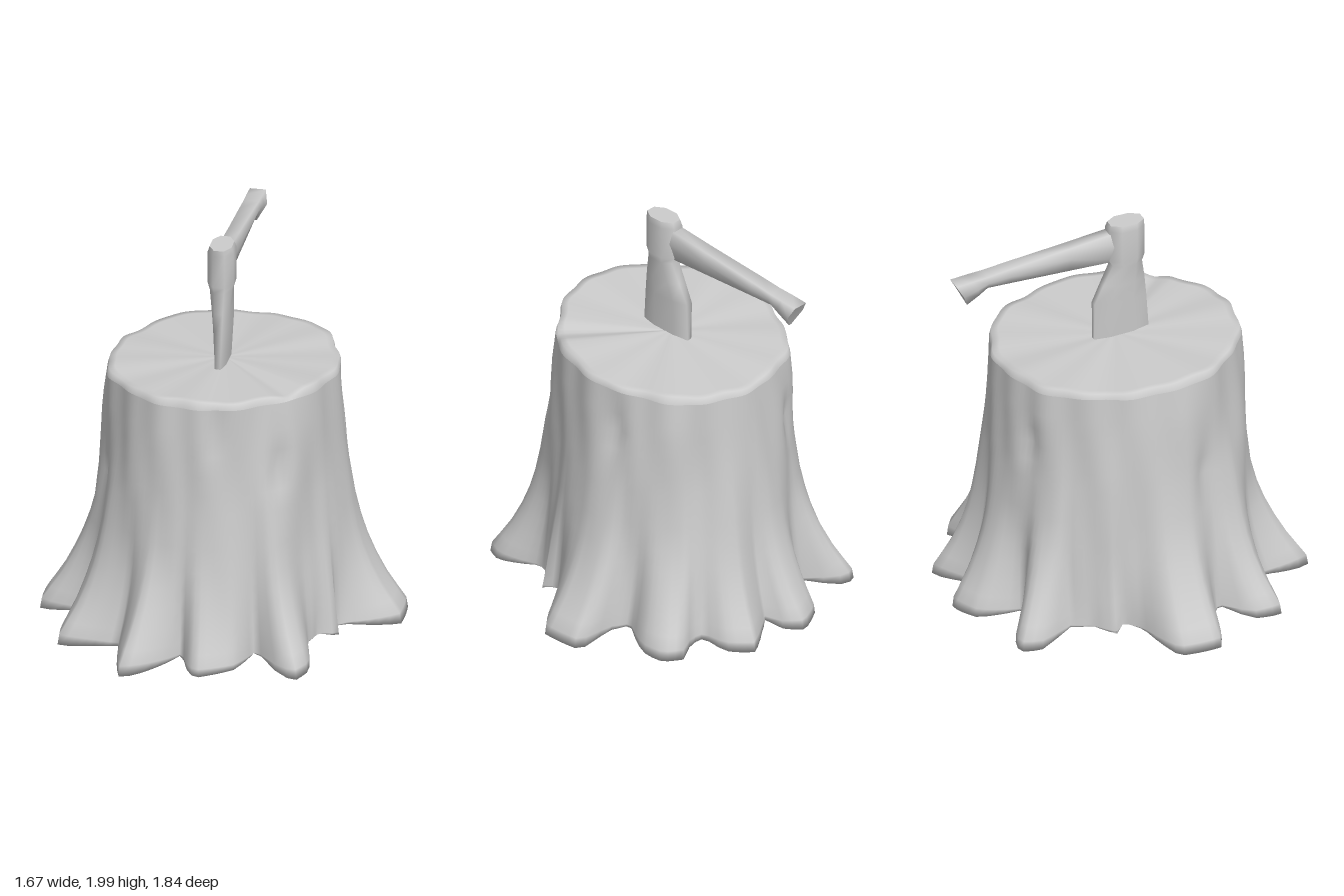
import * as THREE from 'three';

// Closed rings joined into a smooth skin; optional fan caps with their own hard edge
function loft(rings, { start = null, end = null } = {}) {
  const n = rings[0].length, pos = [], idx = [];
  rings.forEach(r => r.forEach(p => pos.push(...p)));
  for (let i = 0; i < rings.length - 1; i++) {
    for (let j = 0; j < n; j++) {
      const k = (j + 1) % n;
      const a = i * n + j, b = i * n + k, c = a + n, d = b + n;
      idx.push(a, c, b, b, c, d);
    }
  }
  const cap = (ring, centre, flip) => {
    const base = pos.length / 3;
    ring.forEach(p => pos.push(...p));
    pos.push(...centre);
    for (let j = 0; j < n; j++) {
      const a = base + j, b = base + (j + 1) % n;
      if (flip) idx.push(base + n, a, b); else idx.push(base + n, b, a);
    }
  };
  if (start) cap(rings[0], start, true);
  if (end) cap(rings[rings.length - 1], end, false);
  const g = new THREE.BufferGeometry();
  g.setAttribute('position', new THREE.Float32BufferAttribute(pos, 3));
  g.setIndex(idx);
  g.computeVertexNormals();
  return g;
}

// Ground outline of the roots: angle in degrees from +x towards +z, radius
const ROOTS = [
  [3, .69], [9, .61], [19, .64], [29, .84], [36, .89], [39.5, .81], [43.5, .61],
  [55, .75], [69, .82], [73.5, .74], [76.5, .64], [80.5, .72], [88, .855], [92.5, .92],
  [99, .805], [104.5, .705], [113, .78], [122.5, .9], [131, .82], [135.5, .645],
  [141, .68], [149.5, .89], [164, .87], [173.5, .655], [182, .6], [185, .68],
  [195.5, .635], [206, .67], [209, .84], [216, .92], [221.5, .84], [224, .7], [229, .66],
  [239.5, .845], [249.5, .9], [255, .83], [257, .73], [262.5, .8], [270, .92],
  [278.5, .86], [284, .75], [289.5, .785], [292, .89], [299, .91], [306, .84],
  [313.5, .665], [321, .73], [326, .91], [340, .89], [352, .67], [358.5, .62],
];

// Hollows in the bark: angle, height, depth
const DENTS = [[30, 1, .035], [-33, 1.1, .03], [62, 1.22, .025], [140, .8, .02], [225, 1, .025]];

function rootRadius(deg) {
  const n = ROOTS.length;
  for (let i = 0; i < n; i++) {
    const [a0, r0] = ROOTS[i];
    const [a1, r1] = ROOTS[(i + 1) % n];
    const span = (a1 - a0 + 360) % 360, t = (deg - a0 + 360) % 360;
    if (t < span) return r0 + (r1 - r0) * t / span;
  }
  return .7;
}

// Height of the sloping sawn face
const topY = (x, z) => 1.365 + .015 * x + .045 * z;

const SEG = 144;
// Height and how far the skin follows the root outline there
const LEVELS = [[0, 1], [.06, .97], [.12, .82], [.2, .63], [.3, .45], [.4, .31], [.5, .21],
  [.62, .13], [.8, .07], [.9, .05], [1, .035], [1.1, .03], [1.2, .02], [1.33, 0]];

function barkRing(y, w, inset = 1) {
  return Array.from({ length: SEG }, (_, j) => {
    const deg = j * 360 / SEG, t = deg * Math.PI / 180;
    const r = rootRadius(deg);
    const fade = 1 - y / 1.36;
    // Broad uneven bark with a few hollows
    let bark = .006 * Math.sin(9 * t + 4 * y) + .005 * Math.sin(17 * t - 5 * y)
      + .006 * Math.sin(5 * t + 6 * y);
    for (const [a, h, depth] of DENTS) {
      const da = ((deg - a + 540) % 360 - 180) / 5, dy = (y - h) / .1;
      bark -= depth * Math.exp(-da * da - dy * dy);
    }
    const ex = (.553 + .06 * fade + bark) * inset * Math.cos(t);
    const ez = -.025 + (.613 + .04 * fade + bark) * inset * Math.sin(t);
    const x = ex + (r * Math.cos(t) - ex) * w;
    const z = ez + (r * Math.sin(t) - ez) * w;
    // Gaps between the roots lift off the ground
    const lift = y === 0 ? .008 + Math.max(0, .88 - r) * .2 : 0;
    const tilt = y > 1 ? (topY(x, z) - 1.365) * (y - 1) / .36 : 0;
    return [x, y + lift + tilt, z];
  });
}

function createStump(material) {
  const group = new THREE.Group();
  group.name = 'stump';

  // Side skin, rounded under the roots into a slightly hollow underside
  const side = LEVELS.map(([y, w]) => barkRing(y, w));
  const underside = [.01, .5].map(s => side[0].map(([x, y, z]) =>
    [x * s, .08 + (y - .08) * s, z * s]));
  const trunk = new THREE.Mesh(loft([...underside, ...side]), material);
  trunk.name = 'trunkAndRoots';

  // Sawn face with a softened rim and one radial split
  const face = [side[side.length - 1]];
  for (const s of [.985, .93, .75, .5, .25, .02]) {
    face.push(barkRing(1.36, 0, s).map(([x, , z], j) => {
      const t = j * Math.PI * 2 / SEG;
      const split = .025 * s * Math.max(0, 1 - Math.abs(t - .38) / .16);
      const chip = .005 * s * Math.sin(5 * t + 1) + .003 * s * Math.sin(11 * t);
      return [x, topY(x, z) + chip - split, z];
    }));
  }
  const sawn = new THREE.Mesh(loft(face, { end: [0, 1.365, -.025] }), material);
  sawn.name = 'sawnFace';
  group.add(trunk, sawn);
  return group;
}

function createAxe(material) {
  const axe = new THREE.Group();
  axe.name = 'axe';

  // Head: height, back, front, half thickness
  const headRings = [
    [1.3, -.165, .13, .026], [1.56, -.165, .11, .04], [1.66, -.12, .1, .046],
    [1.765, -.07, .085, .054], [1.8, -.09, .095, .064], [1.97, -.09, .095, .064],
    [2, -.08, .095, .054],
  ].map(([y, b, f, h]) => {
    const m = (f - b) * .28;
    return [[h, y, b + m], [h, y, f - m], [h * .45, y, f], [-h * .45, y, f],
      [-h, y, f - m], [-h, y, b + m], [-h * .45, y, b], [h * .45, y, b]];
  });
  const head = new THREE.Mesh(loft(headRings, { start: [0, 1.3, 0], end: [0, 2, .01] }), material);
  head.name = 'axeHead';

  // Handle: distance back, bottom, top, half width, half width of lower edge, slant
  const handleRings = [
    [0, 1.79, 1.965, .042, .025, 0], [.3, 1.8, 1.93, .043, .026, 0],
    [.62, 1.812, 1.895, .048, .03, 0], [.74, 1.815, 1.88, .05, .03, 0],
    [.8, 1.775, 1.874, .053, .018, .02], [.875, 1.73, 1.866, .053, .008, .035],
  ].map(([d, y0, y1, w, b, slant]) => {
    const mid = y0 + (y1 - y0) * .55;
    return [[w, mid, -d], [w * .75, y1, -d - slant], [-w * .75, y1, -d - slant],
      [-w, mid, -d], [-b, y0, -d + slant], [b, y0, -d + slant]];
  });
  const handle = new THREE.Mesh(loft(handleRings, { end: [0, 1.805, -.875] }), material);
  handle.name = 'axeHandle';

  axe.add(head, handle);
  axe.position.set(.014, 0, .022);
  axe.rotation.y = .345;
  return axe;
}

export function createModel() {
  const model = new THREE.Group();
  model.name = 'stumpWithAxe';
  const grey = new THREE.MeshStandardMaterial({ color: 0xcccccc });
  grey.name = 'lightGrey';
  model.add(createStump(grey), createAxe(grey));
  return model;
}
